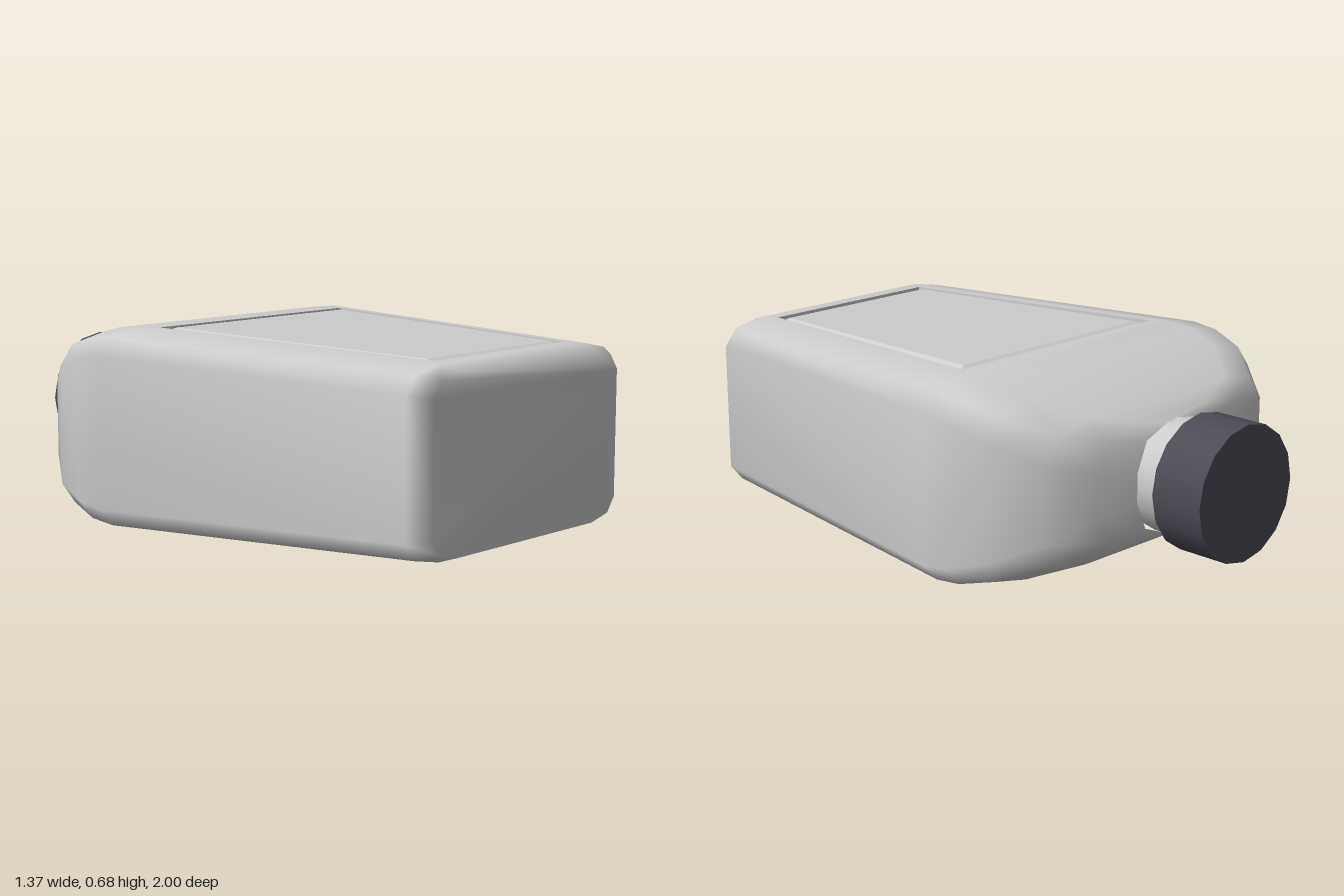
import * as THREE from 'three';

const CY = 0.342; // height of the bottle's long axis

// z, half width, half height, corner width, corner height (base to shoulder)
const SECTIONS = [
  [1.0, 0.485, 0.285, 0.13, 0.07],
  [0.94, 0.543, 0.305, 0.165, 0.08],
  [-0.25, 0.686, 0.342, 0.19, 0.085],
  [-0.35, 0.686, 0.332, 0.19, 0.09],
  [-0.48, 0.65, 0.302, 0.19, 0.1],
  [-0.63, 0.535, 0.243, 0.2, 0.11],
  [-0.69, 0.35, 0.205, 0.18, 0.13],
  [-0.718, 0.195, 0.188, 0.145, 0.138],
];

// Label panel: outline and bevelled inner corners as [x, z]
const OUTLINE = [[-0.345, 0.885], [0.345, 0.885], [0.46, -0.19], [-0.46, -0.19]];
const INNER = [[-0.325, 0.845], [0.325, 0.845], [0.415, -0.155], [-0.415, -0.155]];

// Half height of the flat broad side at z
const flatHeight = (z) => THREE.MathUtils.mapLinear(z, 0.94, -0.25, 0.305, 0.342);

// Corners on the broad side; side is 1 for the top and -1 for the bottom
const corners = (list, side, drop = 0) =>
  list.map(([x, z]) => [side * x, side * (flatHeight(z) - drop), z]);

function makeGeometry(points, index) {
  const g = new THREE.BufferGeometry();
  g.setAttribute('position', new THREE.Float32BufferAttribute(points.flat(), 3));
  g.setIndex(index);
  return g;
}

// Twelve-point rounded rectangle, counter-clockwise seen from the front
function crossSection([z, w, h, cw, ch]) {
  const q = [[w, h - ch], [w - 0.29 * cw, h - 0.29 * ch], [w - cw, h]];
  const r = [...q].reverse();
  return [
    ...q,
    ...r.map(([x, y]) => [-x, y]),
    ...q.map(([x, y]) => [-x, -y]),
    ...r.map(([x, y]) => [x, -y]),
  ].map(([x, y]) => [x, y, z]);
}

function bodyGeometry() {
  const points = SECTIONS.flatMap(crossSection);
  const index = [];
  for (let k = 0; k < SECTIONS.length - 1; k++) {
    for (let i = 0; i < 12; i++) {
      if (k === 1 && (i === 2 || i === 8)) continue; // openings for the panels
      const a = k * 12 + i, b = k * 12 + (i + 1) % 12;
      index.push(a, a + 12, b, b, a + 12, b + 12);
    }
  }
  // Base
  for (let i = 1; i < 11; i++) index.push(0, i, i + 1);
  // Flat frames around the panels
  for (const [side, frame] of [[1, [15, 14, 26, 27]], [-1, [21, 20, 32, 33]]]) {
    const start = points.length;
    points.push(...corners(OUTLINE, side));
    for (let j = 0; j < 4; j++) {
      const n = (j + 1) % 4;
      index.push(frame[j], frame[n], start + n, frame[j], start + n, start + j);
    }
  }
  const g = makeGeometry(points, index);
  g.computeVertexNormals();
  return g;
}

// Short wall down, bevel back up and a flush face
function panelGeometry(side) {
  const points = [
    ...corners(OUTLINE, side), ...corners(OUTLINE, side, 0.02), ...corners(INNER, side),
  ];
  const index = [8, 9, 10, 8, 10, 11];
  for (let k = 0; k < 8; k += 4) {
    for (let j = 0; j < 4; j++) {
      const a = k + j, b = k + (j + 1) % 4;
      index.push(a, b, b + 4, a, b + 4, a + 4);
    }
  }
  const g = makeGeometry(points, index).toNonIndexed();
  g.computeVertexNormals();
  return g;
}

export function createModel() {
  const group = new THREE.Group();
  group.name = 'bottle';
  const plastic = new THREE.MeshStandardMaterial({ color: 0xcccccc });
  plastic.name = 'light grey plastic';
  const dark = new THREE.MeshStandardMaterial({ color: 0x4c4b56 });
  dark.name = 'dark grey cap';

  const add = (name, geometry, material, z = 0) => {
    const mesh = new THREE.Mesh(geometry, material);
    mesh.name = name;
    mesh.position.set(0, CY, z);
    group.add(mesh);
  };

  add('body', bodyGeometry(), plastic);
  add('topPanel', panelGeometry(1), plastic);
  add('bottomPanel', panelGeometry(-1), plastic);

  // Neck and screw cap lie along z
  const neck = new THREE.CylinderGeometry(0.193, 0.193, 0.12, 16, 1, true);
  add('neck', neck.rotateX(-Math.PI / 2), plastic, -0.75);
  const cap = new THREE.CylinderGeometry(0.228, 0.228, 0.19, 16);
  add('cap', cap.rotateX(-Math.PI / 2), dark, -0.905);
  const rim = new THREE.CylinderGeometry(0.228, 0.218, 0.01, 16);
  add('capRim', rim.rotateX(-Math.PI / 2), dark, -0.805);
  return group;
}
